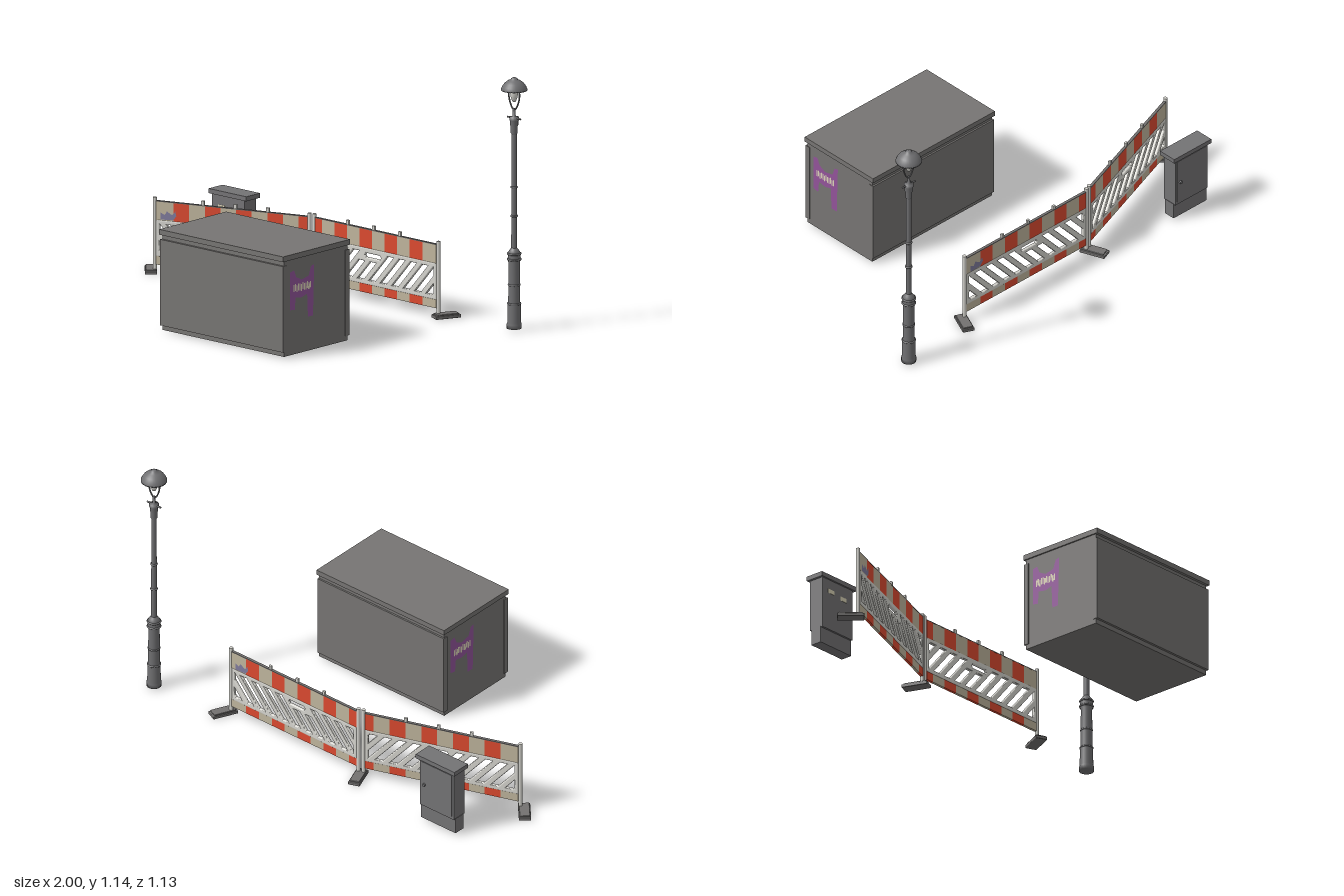
import * as THREE from 'three';
import { RoundedBoxGeometry } from 'three/addons/geometries/RoundedBoxGeometry.js';

const mat = (name, color, side = THREE.FrontSide) => {
  const m = new THREE.MeshStandardMaterial({ color, side });
  m.name = name;
  return m;
};
const M = {
  box: mat('containerGrey', 0x777573),
  cabinet: mat('cabinetGrey', 0x747375),
  iron: mat('lampIron', 0x707072),
  rubber: mat('footRubber', 0x737170),
  silver: mat('barrierSilver', 0xd6d5cf),
  red: mat('stripeRed', 0xdc4a30),
  cream: mat('stripeCream', 0xbfb59d),
  purple: mat('paintPurple', 0x92549a, THREE.DoubleSide),
  slate: mat('paintSlate', 0x7f7b9c, THREE.DoubleSide),
  pale: mat('paintPale', 0xdcd5b8, THREE.DoubleSide),
};

function add(parent, name, geo, material, x = 0, y = 0, z = 0) {
  const m = new THREE.Mesh(geo, material);
  m.name = name;
  m.position.set(x, y, z);
  parent.add(m);
  return m;
}

// box given by its min and max corners
function box(parent, name, material, [x0, y0, z0], [x1, y1, z1]) {
  return add(parent, name, new THREE.BoxGeometry(x1 - x0, y1 - y0, z1 - z0), material,
    (x0 + x1) / 2, (y0 + y1) / 2, (z0 + z1) / 2);
}

function group(parent, name) {
  const g = new THREE.Group();
  g.name = name;
  parent.add(g);
  return g;
}

const shapeOf = (pts) => new THREE.Shape(pts.map(([x, y]) => new THREE.Vector2(x, y)));
const patch = (pts) => new THREE.ShapeGeometry(shapeOf(pts));

// Large metal container with lid, end channels and sprayed paint on both ends
function container(root) {
  const g = group(root, 'container');
  box(g, 'containerBody', M.box, [-0.179, 0.006, 0.142], [0.545, 0.44, 0.553]);
  box(g, 'containerLid', M.box, [-0.186, 0.437, 0.132], [0.551, 0.461, 0.566]);
  for (const z of [0.134, 0.54]) {
    box(g, 'containerPanel', M.box, [-0.183, 0.028, z], [0.548, 0.416, z + 0.024]);
  }
  // dripping splash, uneven along its top edge
  const splash = [[-0.165, 0.21], [-0.135, 0.205], [-0.13, 0.262], [-0.09, 0.255], [-0.055, 0.265],
    [-0.05, 0.16], [-0.017, 0.16], [-0.01, 0.39], [-0.03, 0.385], [-0.045, 0.345], [-0.09, 0.335],
    [-0.125, 0.352], [-0.14, 0.385], [-0.165, 0.38]];
  for (const s of [-1, 1]) {
    const side = group(g, 'sprayedPaint');
    side.position.set(s > 0 ? 0.5465 : -0.1805, 0, s > 0 ? 0.35 : 0.348);
    side.rotation.y = s * Math.PI / 2;
    add(side, 'purpleSplash', patch(splash), M.purple);
    // row of short scratchy strokes
    for (let i = 0; i < 12; i++) {
      const u = -0.145 + i * 0.0095, lift = 0.004 * Math.sin(i * 2.3);
      add(side, 'paleStroke', patch([[u, 0.289 + lift], [u + 0.007, 0.287 + lift],
        [u + 0.008, 0.318 + lift], [u + 0.001, 0.32 + lift]]), M.pale, 0, 0, 0.0015);
    }
  }
}

// Street cabinet on a narrower plinth
function cabinet(root) {
  const g = group(root, 'utilityCabinet');
  box(g, 'cabinetPlinth', M.cabinet, [-0.83, 0.012, -0.537], [-0.63, 0.088, -0.483]);
  box(g, 'cabinetBody', M.cabinet, [-0.828, 0.085, -0.546], [-0.632, 0.326, -0.474]);
  box(g, 'cabinetRoof', M.cabinet, [-0.84, 0.324, -0.556], [-0.616, 0.345, -0.466]);
  box(g, 'cabinetDoor', M.cabinet, [-0.818, 0.1, -0.549], [-0.642, 0.315, -0.545]);
  const lock = add(g, 'cabinetLock', new THREE.CylinderGeometry(0.008, 0.008, 0.008, 12), M.iron, -0.66, 0.2, -0.552);
  lock.rotation.x = Math.PI / 2;
  for (const [x, y] of [[-0.79, 0.26], [-0.71, 0.25]]) {
    box(g, 'paleBlotch', M.pale, [x, y, -0.475], [x + 0.04, y + 0.02, -0.473]);
  }
}

// Clip a polygon against x >= a (sign 1) or x <= a (sign -1)
function clip(pts, a, sign) {
  const out = [];
  pts.forEach((p, i) => {
    const q = pts[(i + 1) % pts.length];
    const dp = (p[0] - a) * sign, dq = (q[0] - a) * sign;
    if (dp >= 0) out.push(p);
    if (dp * dq < 0) {
      const t = dp / (dp - dq);
      out.push([p[0] + (q[0] - p[0]) * t, p[1] + (q[1] - p[1]) * t]);
    }
  });
  return out;
}

// Barrier panel running along local +x from its outer post
function barrier(root, name, x, z, turn, L) {
  const g = group(root, name);
  g.position.set(x, 0, z);
  g.rotation.y = turn;

  // striped boards, a wide pale stripe at the outer end and a narrow red one at the inner
  const w = 0.0745, first = 0.091;
  for (const [y0, y1] of [[0.042, 0.083], [0.243, 0.328]]) {
    for (let i = 0; i < 10; i++) {
      const u0 = i ? first + (i - 1) * w : 0.008;
      const u1 = Math.min(first + i * w, L - 0.008);
      if (u1 > u0) {
        box(g, i % 2 ? 'redStripe' : 'creamStripe', i % 2 ? M.red : M.cream, [u0, y0, -0.006], [u1, y1, 0.006]);
      }
    }
  }
  box(g, 'topEdge', M.rubber, [0.008, 0.327, -0.0065], [L - 0.008, 0.331, 0.0065]);

  // pierced middle with slanted slots and a grip opening
  const plate = shapeOf([[0.008, 0.08], [L - 0.008, 0.08], [L - 0.008, 0.245], [0.008, 0.245]]);
  const lean = 0.11, pitch = 0.068, gap = 0.036, lo = 0.1, hi = 0.226, mid = 0.385;
  for (let i = -1; i < 12; i++) {
    const u = i * pitch - 0.01;
    const top = u + gap > mid - 0.055 && u < mid + 0.055 ? 0.185 : hi;
    const dx = lean * (top - lo) / (hi - lo);
    let pts = [[u + lean, lo], [u + lean + gap, lo], [u + lean + gap - dx, top], [u + lean - dx, top]];
    pts = clip(clip(pts, 0.024, 1), L - 0.024, -1);
    if (pts.length < 3) continue;
    plate.holes.push(new THREE.Path(pts.map(([a, b]) => new THREE.Vector2(a, b))));
  }
  const grip = [[-0.042, 0.202], [0.042, 0.202], [0.048, 0.212], [0.042, 0.222], [-0.042, 0.222], [-0.048, 0.212]];
  plate.holes.push(new THREE.Path(grip.map(([a, b]) => new THREE.Vector2(mid + a, b))));
  add(g, 'slottedPanel', new THREE.ExtrudeGeometry(plate, {
    depth: 0.004, bevelEnabled: true, bevelThickness: 0.006, bevelSize: 0.006, bevelOffset: -0.005, bevelSegments: 3,
  }), M.silver, 0, 0, -0.002);

  // end posts and top lugs
  for (const u of [0, L]) {
    add(g, 'post', new THREE.CylinderGeometry(0.009, 0.009, 0.325, 14), M.silver, u, 0.1825, 0);
  }
  for (const f of [0.31, 0.52, 0.73]) {
    box(g, 'topLug', M.silver, [f * L - 0.007, 0.325, -0.005], [f * L + 0.007, 0.35, 0.005]);
  }
  // small paint scribble near the outer end
  add(g, 'slateScribble', patch([[0.03, 0.248], [0.09, 0.25], [0.105, 0.27], [0.1, 0.29],
    [0.085, 0.272], [0.06, 0.288], [0.05, 0.27], [0.03, 0.28]]), M.slate, 0, 0, 0.0075);
}

function foot(root, x, z, turn) {
  const g = group(root, 'barrierFoot');
  g.position.set(x, 0, z);
  g.rotation.y = turn;
  add(g, 'footBase', new RoundedBoxGeometry(0.054, 0.015, 0.12, 2, 0.003), M.rubber, 0, 0.0075, 0);
  add(g, 'footTop', new RoundedBoxGeometry(0.046, 0.012, 0.105, 2, 0.003), M.rubber, 0, 0.015, 0);
}

const lathe = (pts, seg = 24) =>
  new THREE.LatheGeometry(pts.map(([r, y]) => new THREE.Vector2(r, y)), seg);

// Old-style street lamp
function streetLamp(root) {
  const g = group(root, 'streetLamp');
  g.position.set(0.941, 0, -0.506);
  add(g, 'lampBase', lathe([[0, 0.008], [0.033, 0.008], [0.033, 0.028], [0.03, 0.035], [0.029, 0.115],
    [0.026, 0.13], [0.025, 0.305], [0.028, 0.315], [0.028, 0.35], [0.02, 0.362], [0.0125, 0.372]]), M.iron);
  add(g, 'lampShaft', new THREE.CylinderGeometry(0.0115, 0.013, 0.55, 18), M.iron, 0, 0.635, 0);
  for (const [y, r] of [[0.12, 0.027], [0.205, 0.024], [0.32, 0.028], [0.345, 0.028], [0.515, 0.0125], [0.645, 0.012]]) {
    const ring = add(g, 'lampRing', new THREE.TorusGeometry(r, 0.0045, 8, 24), M.iron, 0, y, 0);
    ring.rotation.x = Math.PI / 2;
  }
  add(g, 'lampCapital', lathe([[0.012, 0.885], [0.015, 0.89], [0.015, 0.918], [0.018, 0.925], [0.018, 0.945],
    [0.021, 0.947], [0.021, 0.962], [0.007, 0.966], [0.006, 1.0], [0, 1.002]]), M.iron);
  const bar = add(g, 'ladderBar', new THREE.CylinderGeometry(0.004, 0.004, 0.078, 8), M.iron, 0, 0.957, 0);
  bar.rotation.z = Math.PI / 2;
  // forked arms carrying the hood
  for (const s of [-1, 1]) {
    const arm = new THREE.CatmullRomCurve3([[0, 0.992], [0.014, 1.005], [0.029, 1.04], [0.032, 1.065], [0.028, 1.092]]
      .map(([x, y]) => new THREE.Vector3(s * x, y, 0)));
    add(g, 'forkArm', new THREE.TubeGeometry(arm, 16, 0.0035, 8), M.iron);
  }
  add(g, 'lampGlass', lathe([[0, 1.028], [0.008, 1.032], [0.015, 1.052], [0.018, 1.07], [0.016, 1.085], [0, 1.086]], 18), M.silver);
  add(g, 'lampHood', lathe([[0, 1.088], [0.05, 1.086], [0.058, 1.083], [0.058, 1.088], [0.053, 1.1], [0.043, 1.114],
    [0.028, 1.126], [0.016, 1.13], [0.014, 1.136], [0.007, 1.14], [0, 1.141]], 28), M.iron);
}

export function createModel() {
  const root = new THREE.Group();
  root.name = 'roadworkScene';
  container(root);
  cabinet(root);
  barrier(root, 'leftBarrier', -0.908, -0.193, Math.atan2(0.245, 0.695), 0.737);
  barrier(root, 'rightBarrier', 0.547, -0.445, Math.PI, 0.737);
  foot(root, -0.943, -0.205, Math.atan2(0.07, 0.075));
  foot(root, -0.213, -0.473, Math.atan2(0.038, 0.1));
  foot(root, 0.571, -0.47, Math.atan2(-0.045, 0.1));
  streetLamp(root);
  return root;
}
